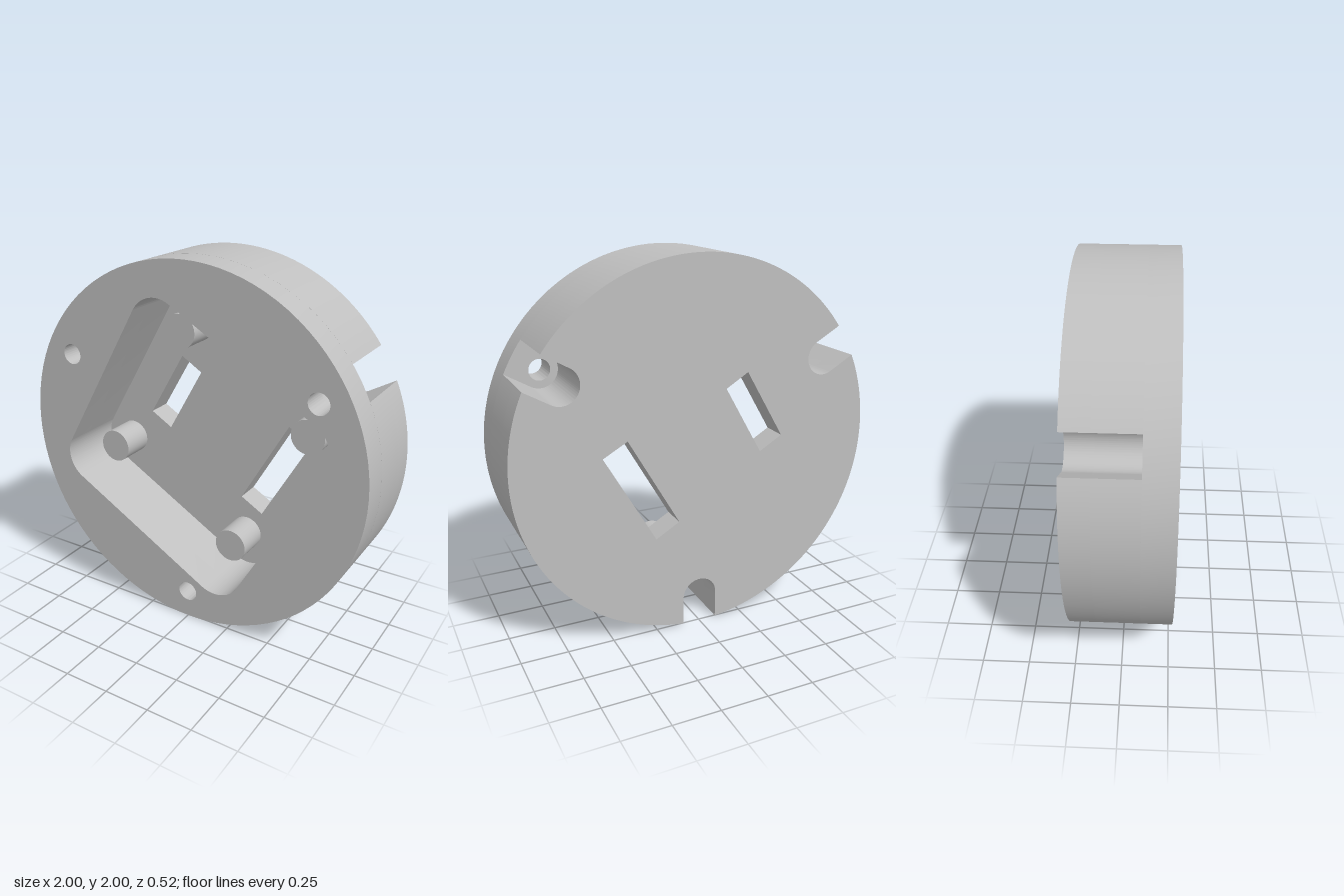
import * as THREE from 'three';
import { toCreasedNormals } from 'three/addons/utils/BufferGeometryUtils.js';

const BACK = -0.26, FLOOR = -0.12, LEDGE = 0.1, FRONT = 0.26;
const BOLT_R = 0.84, NOTCH_W = 0.096;
const BOLT_ANGLES = [Math.PI / 6, Math.PI * 5 / 6, Math.PI * 3 / 2];

// Round outline with three round-ended notches cut in from the rim
function notchedDisc() {
  const s = new THREE.Shape();
  const a = Math.asin(NOTCH_W);
  let from = -Math.PI / 2 + a;
  for (const t of BOLT_ANGLES) {
    s.absarc(0, 0, 1, from, t - a, false);
    s.absarc(BOLT_R * Math.cos(t), BOLT_R * Math.sin(t), NOTCH_W, t - Math.PI / 2, t - Math.PI * 1.5, true);
    from = t + a;
  }
  s.closePath();
  return s;
}

function circle(x, y, r, Type = THREE.Path) {
  const p = new Type();
  p.absarc(x, y, r, 0, Math.PI * 2, false);
  return p;
}

// Rounded square pocket, turned 30 degrees
function pocket() {
  const p = new THREE.Path();
  const h = 0.626, r = 0.16, turn = -Math.PI / 6;
  for (let i = 0; i < 4; i++) {
    const mid = turn + Math.PI / 4 + i * Math.PI / 2;
    const d = (h - r) * Math.SQRT2;
    p.absarc(d * Math.cos(mid), d * Math.sin(mid), r, mid - Math.PI / 4, mid + Math.PI / 4, false);
  }
  p.closePath();
  return p;
}

function polygon(points) {
  return new THREE.Path(points.map(([x, y]) => new THREE.Vector2(x, y)));
}

export function createModel() {
  const model = new THREE.Group();
  model.name = 'roundHousing';
  const grey = new THREE.MeshStandardMaterial({ color: 0xbfbfbf });
  grey.name = 'grey';

  const layer = (name, shape, holes, z0, z1) => {
    shape.holes.push(...holes);
    const geo = new THREE.ExtrudeGeometry(shape, { depth: z1 - z0, bevelEnabled: false, curveSegments: 48 });
    const mesh = new THREE.Mesh(toCreasedNormals(geo, 0.5), grey);
    mesh.name = name;
    mesh.position.set(0, 1, z0);
    model.add(mesh);
  };

  // Back plate with two slanted slots
  layer('backPlate', notchedDisc(), [
    polygon([[-0.267, 0.385], [-0.144, 0.31], [-0.353, -0.059], [-0.481, 0.016]]),
    polygon([[0.401, 0.105], [0.533, 0.032], [0.253, -0.455], [0.122, -0.38]]),
  ], BACK, FLOOR);

  // Notched wall around the pocket
  layer('notchedWall', notchedDisc(), [pocket()], FLOOR, LEDGE);

  // Front ring with screw holes
  const screwHoles = BOLT_ANGLES.map(t => circle(BOLT_R * Math.cos(t), BOLT_R * Math.sin(t), 0.056));
  layer('frontRing', circle(0, 0, 1, THREE.Shape), [pocket(), ...screwHoles], LEDGE, FRONT);

  // Support posts standing on the pocket floor
  const postEnd = 0.065;
  for (const [x, y] of [[-0.16, 1.583], [0.593, 1.155], [0.157, 0.403], [-0.62, 0.831]]) {
    const post = new THREE.Mesh(new THREE.CylinderGeometry(0.093, 0.093, postEnd - FLOOR, 48), grey);
    post.name = 'supportPost';
    post.rotation.x = Math.PI / 2;
    post.position.set(x, y, (postEnd + FLOOR) / 2);
    model.add(post);
  }
  return model;
}
